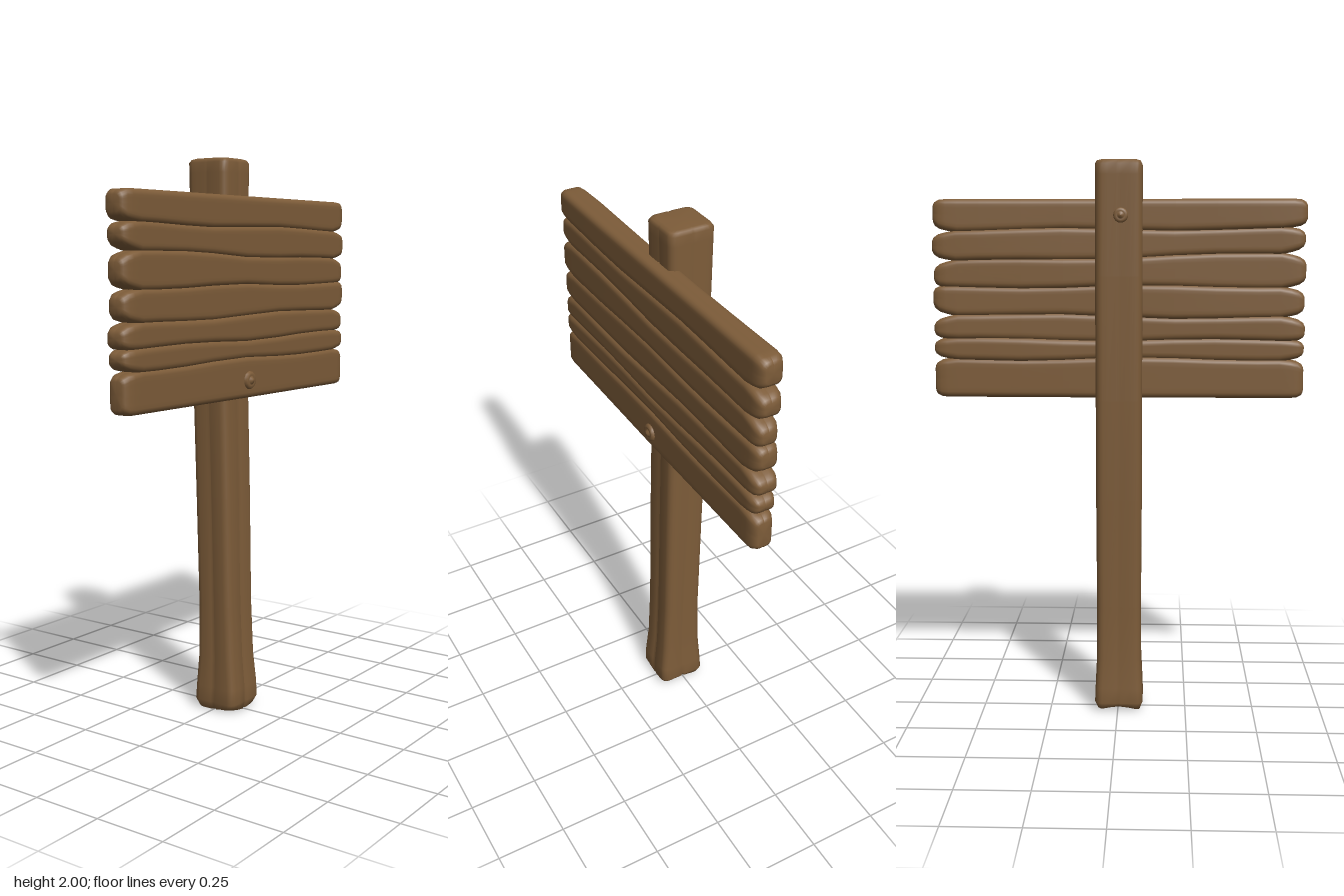
import * as THREE from 'three';

const wood = new THREE.MeshStandardMaterial({ color: 0x7d5c39 });
wood.name = 'brown wood';

// Rounded rectangle, counterclockwise; split(side) dents the middle of each side.
function roundedRing(w, h, r, dent = () => 0) {
  const pts = [];
  const hw = w / 2, hh = h / 2;
  const corners = [[1, 1], [-1, 1], [-1, -1], [1, -1]];
  corners.forEach(([sx, sy], k) => {
    for (let i = 0; i <= 4; i++) {
      const a = (k + i / 4) * Math.PI / 2;
      pts.push([sx * (hw - r) + r * Math.cos(a), sy * (hh - r) + r * Math.sin(a)]);
    }
    // points along the side that follows this corner
    const [nx, ny] = corners[(k + 1) % 4];
    const out = [[0, 1], [-1, 0], [0, -1], [1, 0]][k];
    for (const t of [0.15, 0.43, 0.5, 0.57, 0.85]) {
      const d = t === 0.5 ? dent(k) : 0;
      const edge = [out[0] ? out[0] * hw : (sx + (nx - sx) * t) * (hw - r),
        out[1] ? out[1] * hh : (sy + (ny - sy) * t) * (hh - r)];
      pts.push([edge[0] - out[0] * d, edge[1] - out[1] * d]);
    }
  });
  return pts;
}

// Skin over rings that run counterclockwise around the direction of travel.
function loft(rings) {
  const n = rings[0].length, pos = rings.flat(2), idx = [];
  for (let i = 0; i < rings.length - 1; i++) {
    for (let j = 0; j < n; j++) {
      const a = i * n + j, b = i * n + (j + 1) % n;
      idx.push(a, b, b + n, a, b + n, a + n);
    }
  }
  [0, rings.length - 1].forEach((row, end) => {
    const c = pos.length / 3;
    for (let k = 0; k < 3; k++) pos.push(rings[row].reduce((s, p) => s + p[k], 0) / n);
    for (let j = 0; j < n; j++) {
      const a = row * n + j, b = row * n + (j + 1) % n;
      if (end) idx.push(c, a, b); else idx.push(c, b, a);
    }
  });
  const g = new THREE.BufferGeometry();
  g.setAttribute('position', new THREE.Float32BufferAttribute(pos, 3));
  g.setIndex(idx);
  g.computeVertexNormals();
  return g;
}

function add(parent, name, geometry) {
  const m = new THREE.Mesh(geometry, wood);
  m.name = name;
  parent.add(m);
  return m;
}

// Post: leans back slightly, flares at the foot, split along its sides.
function postGeometry() {
  // height, width, depth, centre z
  const rows = [
    [0.008, 0.12, 0.125, 0.01], [0.012, 0.155, 0.16, 0.01], [0.035, 0.176, 0.178, 0.01],
    [0.09, 0.172, 0.174, 0.011], [0.2, 0.162, 0.156, 0.009], [0.4, 0.16, 0.146, 0.005],
    [0.8, 0.164, 0.148, -0.004], [1.16, 0.164, 0.15, -0.014], [1.6, 0.166, 0.158, -0.018],
    [1.95, 0.164, 0.166, -0.022], [1.985, 0.164, 0.168, -0.022], [1.996, 0.152, 0.154, -0.022],
    [2, 0.13, 0.13, -0.022]];
  const dents = [0.003, 0.009, 0.012, 0.008]; // back, right, front, left
  return loft(rows.map(([y, w, d, cz]) => {
    const fade = y > 1.9 ? 0.3 : 1 - 0.45 * y;
    return roundedRing(w, d, 0.026, (k) => dents[k] * fade).map(([u, v]) =>
      [u - 0.004, y < 0.02 ? y + 0.008 * Math.sin(u * 28 + v * 20) : y, cz - v]);
  }));
}

// Seams between planks: height at left end and right end, notch size at each end.
const seams = [
  [1.16, 1.16, 0, 0], [1.30, 1.30, 0.012, 0.012], [1.37, 1.372, 0.004, 0.007],
  [1.45, 1.46, 0.016, 0.02], [1.56, 1.56, 0.017, 0.002], [1.68, 1.65, 0.02, 0.018],
  [1.768, 1.758, 0.01, 0.016], [1.87, 1.87, 0, 0]];
const LAST = seams.length - 1;

function seamAt(i, x) {
  const [l, r, gl, gr] = seams[i];
  const t = (x + 0.67) / 1.34;
  const inner = i > 0 && i < LAST;
  const y = l + (r - l) * t + (inner ? 0.007 * Math.sin(x * 7 + i * 2.1) * (1 - Math.abs(x)) : 0);
  const open = (g, d) => g * Math.max(0, 1 - d / 0.09);
  const gap = open(gl, 0.67 + x) + open(gr, 0.67 - x) - (inner ? 0.004 : 0);
  return [y, gap];
}

function plankGeometry(i) {
  const xs = [-0.668, -0.662, -0.645, -0.62, -0.58, -0.5, -0.35, -0.2, 0];
  const all = [...xs, ...xs.slice(0, -1).reverse().map((x) => -x)];
  return loft(all.map((x) => {
    const [y0, g0] = seamAt(i, x), [y1, g1] = seamAt(i + 1, x);
    const e = Math.abs(x), inset = e > 0.665 ? 0.02 : e > 0.66 ? 0.01 : e > 0.64 ? 0.002 : 0;
    const lo = y0 + g0 + inset, hi = y1 - g1 - inset;
    const front = 0.104 - 0.003 * Math.abs(Math.sin(i * 1.7 + x * 2)) - inset;
    const back = 0.01 + 0.009 * Math.abs(Math.sin(i * 2.3 + x * 2.5)) + inset;
    const w = Math.max(hi - lo, 0.012), d = front - back;
    const dent = (k) => (k === 0 || k === 2 ? 0 : 0.002);
    return roundedRing(w, d, Math.min(0.02, w * 0.3, d * 0.3), dent).map(([u, v]) =>
      [x + 0.004 * Math.sin(i * 3), (lo + hi) / 2 + u, (front + back) / 2 + v]);
  }));
}

// Bolt: domed washer with a small raised tip.
function boltGeometry() {
  const profile = [[0, 0.02], [0.009, 0.018], [0.013, 0.012], [0.018, 0.012],
    [0.026, 0.013], [0.032, 0.006], [0.033, -0.004], [0.03, -0.02]];
  const pts = profile.reverse().map(([r, y]) => new THREE.Vector2(r, y));
  return new THREE.LatheGeometry(pts, 16);
}

export function createModel() {
  const sign = new THREE.Group();
  sign.name = 'woodenSign';
  add(sign, 'post', postGeometry());

  const board = new THREE.Group();
  board.name = 'board';
  sign.add(board);
  for (let i = 0; i < LAST; i++) add(board, 'plank' + (i + 1), plankGeometry(i));

  const front = add(sign, 'frontBolt', boltGeometry());
  front.position.set(0.005, 1.225, 0.102);
  front.rotation.x = Math.PI / 2;
  const back = add(sign, 'backBolt', boltGeometry());
  back.position.set(-0.012, 1.81, -0.102);
  back.rotation.x = -Math.PI / 2;
  back.scale.set(0.8, 0.8, 0.8);
  return sign;
}
